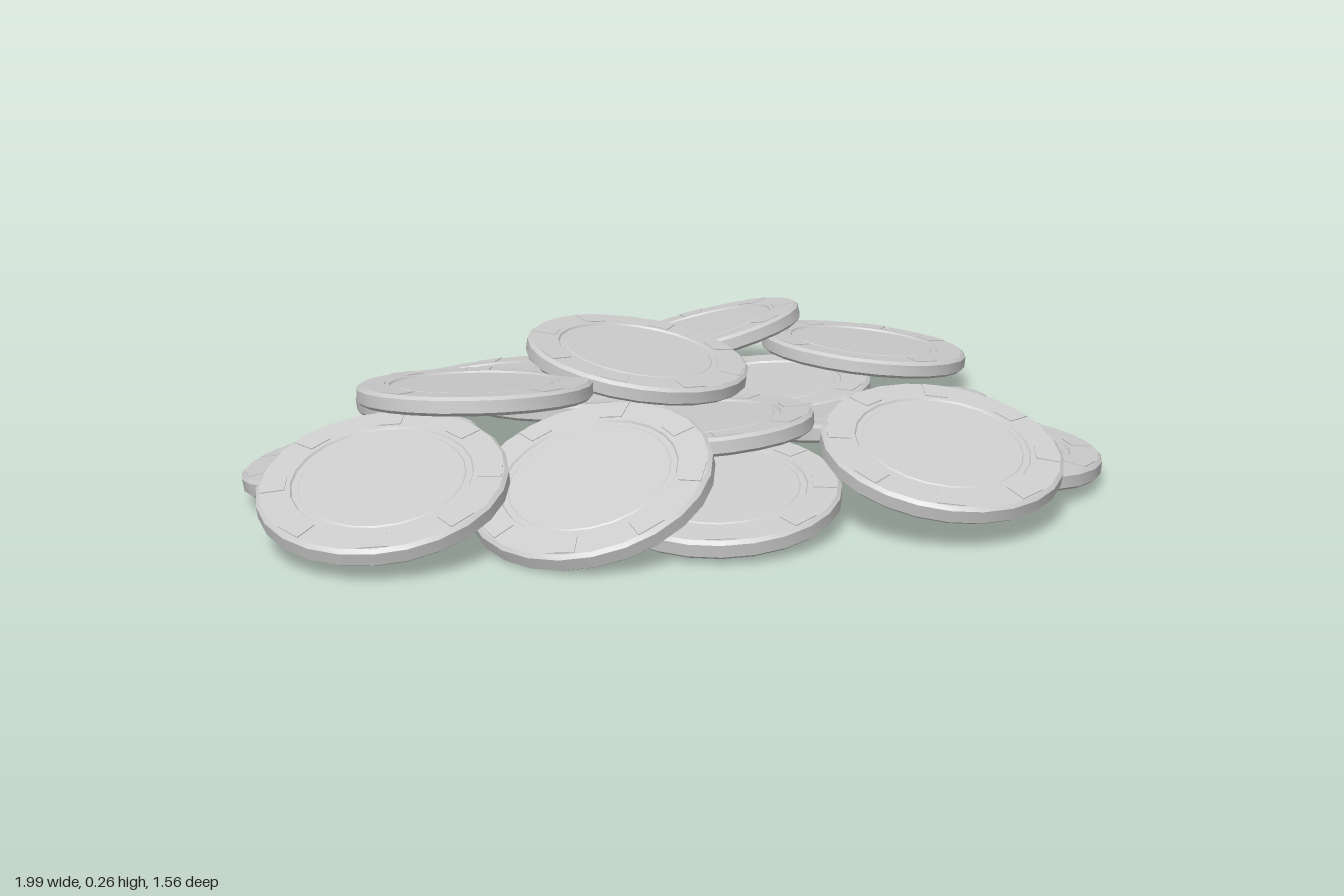
import * as THREE from 'three';
import { toCreasedNormals } from 'three/addons/utils/BufferGeometryUtils.js';

const R = 0.253, H = 0.02; // chip radius and half thickness
const MARKS = 8;

// Each chip: centre x, y, z, then rise per unit along x and along z
const CHIPS = [
  [-0.26, 0.13, -0.51, 0.05, 0.2],
  [0.01, 0.07, -0.49, -0.05, 0.08],
  [0.43, 0.14, -0.535, 0.16, 0.22],
  [0.74, 0.11, -0.275, -0.13, 0],
  [-0.66, 0.1, -0.265, 0.1, 0.17],
  [-0.41, 0.215, -0.21, -0.08, 0.13],
  [0.025, 0.213, -0.225, -0.1, -0.13],
  [0.43, 0.06, -0.27, 0.05, 0.05],
  [-0.75, 0.127, 0, 0.21, -0.19],
  [-0.395, 0.12, 0.215, 0.37, -0.15],
  [-0.02, 0.135, 0.065, 0, 0.13],
  [-0.145, 0.075, 0.31, 0.1, -0.1],
  [0.41, 0.105, 0.15, 0, 0.2],
  [0.5, 0.073, 0.415, -0.1, -0.02],
  [0.265, 0.145, 0.53, 0.05, -0.25],
];

export function createModel() {
  const model = new THREE.Group();
  const material = new THREE.MeshStandardMaterial({ color: 0xcccccc });

  // Chip body: bevelled rim, narrow groove and slightly sunken centre
  const profile = [
    [0, -H], [R - 0.008, -H], [R, -H + 0.007], [R, H - 0.007], [R - 0.008, H],
    [0.184, H], [0.181, H - 0.004], [0.169, H - 0.004], [0.166, H - 0.002], [0, H - 0.002],
  ].map(([x, y]) => new THREE.Vector2(x, y));
  const bodyGeometry = toCreasedNormals(new THREE.LatheGeometry(profile, 24), 0.5);

  // Edge mark: a thin raised tab across the rim
  const tab = new THREE.Shape();
  tab.moveTo(0.192, -0.024);
  tab.lineTo(0.192, 0.024);
  tab.lineTo(0.24, 0.03);
  tab.lineTo(0.24, -0.03);
  tab.closePath();
  const markGeometry = new THREE.ExtrudeGeometry(tab, { depth: 0.004, bevelEnabled: false });
  markGeometry.rotateX(-Math.PI / 2).translate(0, H - 0.002, 0);

  const up = new THREE.Vector3(0, 1, 0);
  CHIPS.forEach(([x, y, z, sx, sz], i) => {
    const chip = new THREE.Group();
    chip.name = `chip${i + 1}`;
    const body = new THREE.Mesh(bodyGeometry, material);
    body.name = 'chipBody';
    chip.add(body);
    for (let k = 0; k < MARKS; k++) {
      const mark = new THREE.Mesh(markGeometry, material);
      mark.name = 'edgeMark';
      mark.rotation.y = (k / MARKS) * Math.PI * 2;
      chip.add(mark);
    }
    // Lean the chip along its slopes, with a different spin for each
    const normal = new THREE.Vector3(-sx, 1, -sz).normalize();
    const spin = new THREE.Quaternion().setFromAxisAngle(up, i * 1.3);
    chip.quaternion.setFromUnitVectors(up, normal).multiply(spin);
    chip.position.set(x, y, z);
    model.add(chip);
  });
  return model;
}
